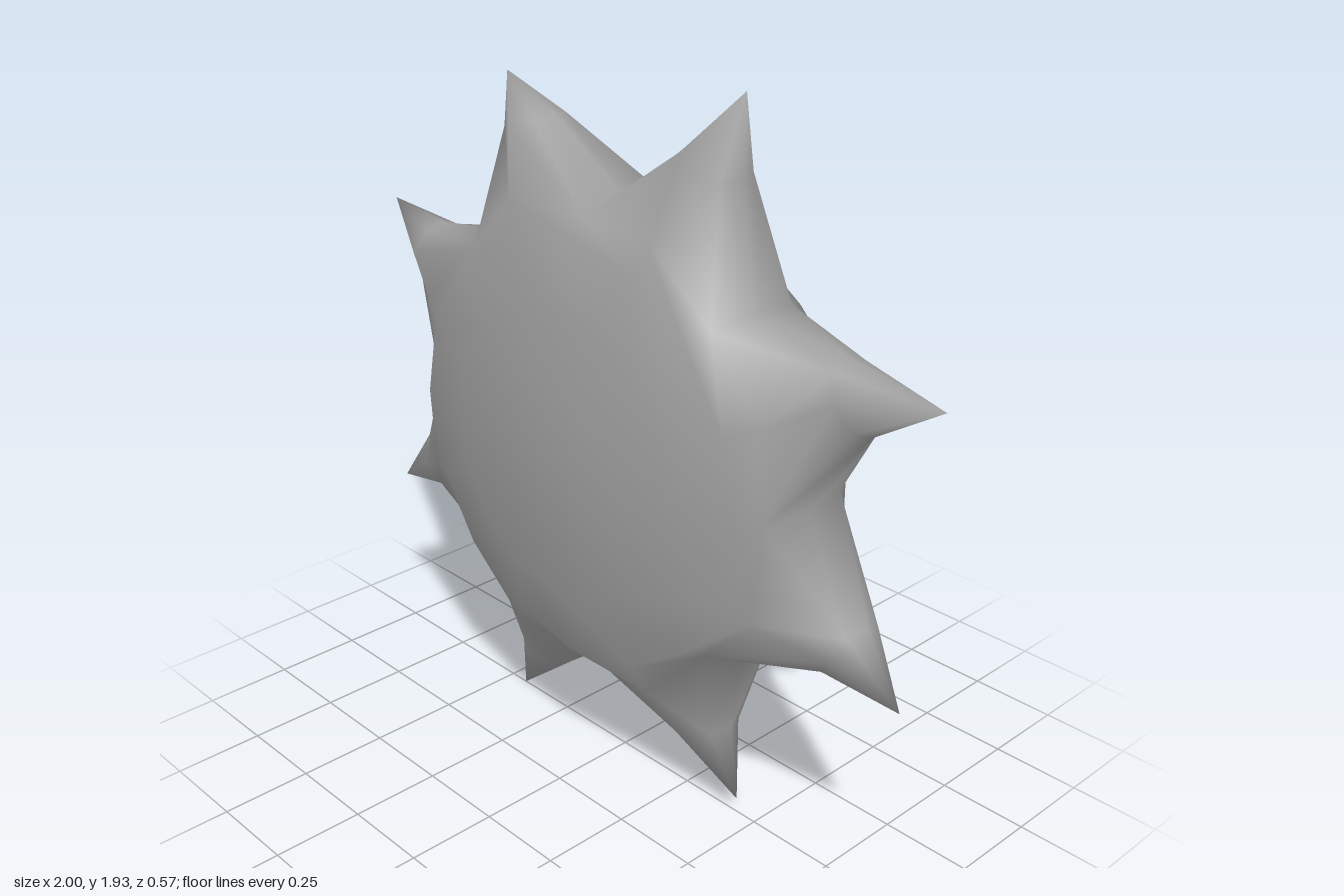
import * as THREE from 'three';
import { mergeVertices } from 'three/addons/utils/BufferGeometryUtils.js';

const CENTER_Y = 0.975;

// Each ray: tip, bend of its lower-angle edge, bend of its higher-angle edge (x, y from the centre)
const RAYS = [
  [[1, 0.37], [0.81, 0.25], [0.72, 0.42]],
  [[0.395, 0.96], [0.395, 0.755], [0.22, 0.81]],
  [[-0.445, 0.88], [-0.26, 0.795], [-0.415, 0.745]],
  [[-0.97, 0.43], [-0.75, 0.405], [-0.8, 0.25]],
  [[-1, -0.47], [-0.8, -0.225], [-0.74, -0.42]],
  [[-0.44, -0.975], [-0.4, -0.755], [-0.22, -0.8]],
  [[0.435, -0.935], [0.22, -0.785], [0.405, -0.725]],
  [[0.94, -0.42], [0.73, -0.39], [0.83, -0.235]],
];

// Domed disc rings: radius, half thickness
const DOME = [[0, 0.285], [0.2, 0.27], [0.39, 0.245], [0.58, 0.2]];

const polar = (r, a, z) => new THREE.Vector3(r * Math.cos(a), r * Math.sin(a), z);
const at = ([x, y]) => new THREE.Vector3(x, y, 0);

export function createModel() {
  const positions = [];

  // Adds a polygon as a fan, on the front or mirrored to the back
  function face(points, flip, side) {
    const p = flip !== (side < 0) ? [...points].reverse() : points;
    for (let i = 1; i < p.length - 1; i++) {
      for (const v of [p[0], p[i], p[i + 1]]) positions.push(v.x, v.y, v.z * side);
    }
  }

  RAYS.forEach(([tipXY, lowXY, highXY], k) => {
    const ridgeAngle = (k + 0.5) * Math.PI / 4;
    const tip = at(tipXY);
    const low = at(lowXY), high = at(highXY);
    const midRidge = low.clone().add(high).multiplyScalar(0.5).setZ(0.09);
    const root = polar(0.66, ridgeAngle, 0.165);

    for (const half of [0, 1]) {
      const valleyAngle = (k + half) * Math.PI / 4;
      const flip = half === 1;
      const edge = half ? high : low;
      const valley = polar(0.635, valleyAngle, 0);
      const shoulder = polar(0.612, valleyAngle, 0.14);
      const midShoulder = edge.clone().lerp(midRidge, 0.25).setZ(0.055);
      const rimV = polar(0.58, valleyAngle, 0.2);
      const rimC = polar(0.58, ridgeAngle, 0.2);

      for (const side of [1, -1]) {
        // Dome sector
        for (let i = 0; i < DOME.length - 1; i++) {
          const [r0, z0] = DOME[i], [r1, z1] = DOME[i + 1];
          const outer = [polar(r1, valleyAngle, z1), polar(r1, ridgeAngle, z1)];
          const inner = polar(r0, valleyAngle, z0);
          face(i ? [inner, ...outer, polar(r0, ridgeAngle, z0)] : [inner, ...outer], flip, side);
        }
        // Ray: rim step, sloping face, tip and steep flank
        face([rimV, shoulder, root, rimC], flip, side);
        face([shoulder, midShoulder, midRidge, root], flip, side);
        face([midShoulder, tip, midRidge], flip, side);
        face([shoulder, valley, edge, midShoulder], flip, side);
        face([midShoulder, edge, tip], flip, side);
      }
    }
  });

  // Shared vertices give one continuous, smoothly shaded skin
  const soup = new THREE.BufferGeometry();
  soup.setAttribute('position', new THREE.Float32BufferAttribute(positions, 3));
  const geometry = mergeVertices(soup, 1e-4);
  geometry.computeVertexNormals();

  const body = new THREE.Mesh(geometry, new THREE.MeshStandardMaterial({ color: 0xa0a0a0 }));
  body.name = 'sunDiscWithRays';
  body.position.y = CENTER_Y;

  const group = new THREE.Group();
  group.name = 'sun';
  group.add(body);
  return group;
}
